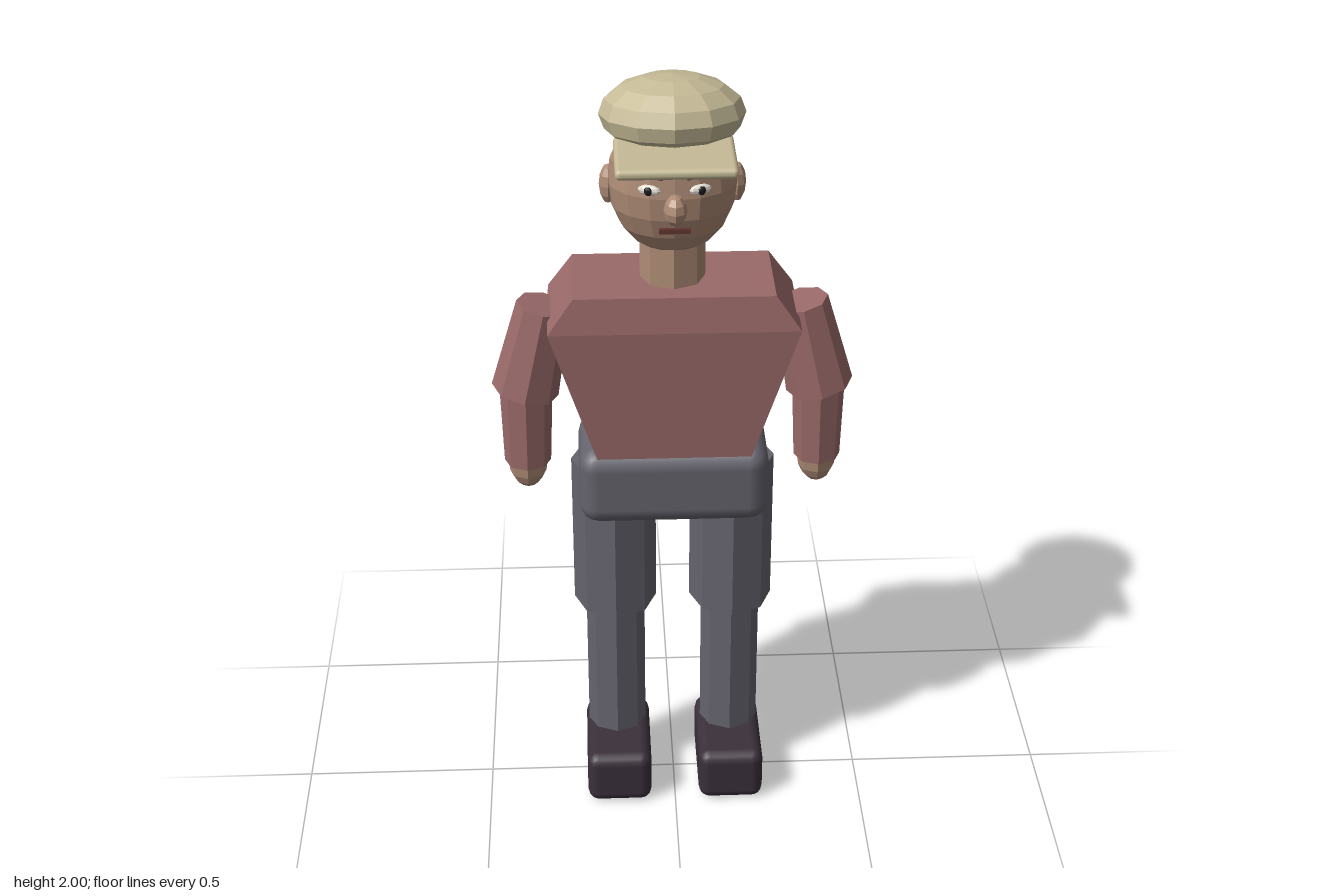
import * as THREE from 'three';
import { RoundedBoxGeometry } from 'three/addons/geometries/RoundedBoxGeometry.js';

const mat = (name, color) => Object.assign(new THREE.MeshStandardMaterial({ color }), { name });

// Faceted copy of a geometry
function facet(geometry) {
  const g = geometry.index ? geometry.toNonIndexed() : geometry;
  g.computeVertexNormals();
  return g;
}

export function createModel() {
  const skin = mat('skin', 0xaf8c76);
  const shirt = mat('shirt', 0x9a6a69);
  const trousers = mat('trousers', 0x65636d);
  const shoe = mat('shoe leather', 0x3a303a);
  const cloth = mat('cap cloth', 0xc6bb97);
  const white = mat('eye white', 0xe6e2d6);
  const dark = mat('pupil', 0x1c1a1c);
  const brow = mat('brow', 0x5c3c34);
  const lip = mat('mouth', 0x63352f);

  const model = new THREE.Group();
  model.name = 'standingMan';
  const midZ = -0.04;

  function add(name, geometry, material, x, y, z, parent = model) {
    const mesh = new THREE.Mesh(geometry, material);
    mesh.name = name;
    mesh.position.set(x, y, z);
    parent.add(mesh);
    return mesh;
  }
  const ball = (rx, ry, rz, w = 12, h = 8) =>
    facet(new THREE.SphereGeometry(1, w, h).scale(rx, ry, rz));

  // Eight-sided limb running from point a (radius ra) down to point b (radius rb)
  function limb(name, material, a, ra, b, rb, parent = model) {
    const from = new THREE.Vector3(...a), to = new THREE.Vector3(...b);
    const dir = from.clone().sub(to);
    const mesh = add(name, facet(new THREE.CylinderGeometry(ra, rb, dir.length(), 8)), material, 0, 0, 0, parent);
    mesh.position.copy(from).add(to).multiplyScalar(0.5);
    mesh.quaternion.setFromUnitVectors(new THREE.Vector3(0, 1, 0), dir.normalize());
    return mesh;
  }

  // Torso: box with a shoulder row, each row resized to [y, half width, half depth]
  const torso = new THREE.BoxGeometry(2, 2, 2, 1, 2, 1);
  const rows = [[1.03, 0.19, 0.12], [1.4, 0.308, 0.14], [1.49, 0.245, 0.127]];
  const p = torso.attributes.position;
  for (let i = 0; i < p.count; i++) {
    const [y, hx, hz] = rows[Math.round(p.getY(i)) + 1];
    p.setXYZ(i, p.getX(i) * hx, y, p.getZ(i) * hz);
  }
  add('torso', facet(torso), shirt, 0, 0, midZ);
  add('hips', new RoundedBoxGeometry(0.48, 0.21, 0.27, 2, 0.05), trousers, 0, 0.95, midZ);

  // Legs and arms, mirrored
  for (const [side, s] of [['left', 1], ['right', -1]]) {
    const leg = new THREE.Group();
    leg.name = side + 'Leg';
    limb('thigh', trousers, [s * 0.152, 0.975, midZ], 0.108, [s * 0.152, 0.55, midZ], 0.108, leg);
    limb('shin', trousers, [s * 0.152, 0.6, midZ], 0.077, [s * 0.152, 0.13, midZ], 0.077, leg);
    add('shoe', new RoundedBoxGeometry(0.172, 0.15, 0.29, 2, 0.03), shoe, s * 0.15, 0.075, 0.013, leg);

    const arm = new THREE.Group();
    arm.name = side + 'Arm';
    limb('upperArm', shirt, [s * 0.318, 1.415, midZ], 0.067, [s * 0.37, 1.18, midZ], 0.085, arm);
    limb('forearm', shirt, [s * 0.368, 1.2, midZ], 0.067, [s * 0.37, 0.975, midZ], 0.059, arm);
    add('hand', ball(0.05, 0.07, 0.05, 8, 8), skin, s * 0.37, 0.97, midZ, arm);
    model.add(leg, arm);
  }

  // Neck and head
  limb('neck', skin, [0, 1.64, midZ], 0.08, [0, 1.47, midZ], 0.08);
  const head = new THREE.Group();
  head.name = 'head';
  model.add(head);
  add('skull', ball(0.157, 0.185, 0.13, 16, 10), skin, 0, 1.75, -0.028, head);
  add('nose', ball(0.028, 0.038, 0.036, 8, 6), skin, 0, 1.735, 0.124, head);
  add('mouth', new THREE.BoxGeometry(0.075, 0.012, 0.009), lip, 0, 1.668, 0.092, head);
  for (const [side, s] of [['left', 1], ['right', -1]]) {
    add(side + 'Ear', ball(0.022, 0.05, 0.03, 8, 6), skin, s * 0.154, 1.735, midZ, head);
    const eye = new THREE.Group();
    eye.name = side + 'Eye';
    eye.position.set(s * 0.06, 1.772, 0.089);
    eye.rotation.y = s * 0.35;
    add('eyeWhite', ball(0.028, 0.013, 0.011, 10, 6), white, 0, 0, 0, eye);
    add('pupil', ball(0.01, 0.011, 0.006, 8, 6), dark, 0, 0, 0.009, eye);
    const eyebrow = add('eyebrow', new THREE.BoxGeometry(0.068, 0.011, 0.009), brow, 0, 0.037, 0, eye);
    eyebrow.rotation.z = s * 0.08;
    head.add(eye);
  }

  // Flat cap, tipped slightly back, with a level peak
  const cap = new THREE.Group();
  cap.name = 'cap';
  model.add(cap);
  const crown = add('crown', ball(0.175, 0.094, 0.16, 12, 8), cloth, 0, 1.905, -0.058, cap);
  crown.rotation.x = -0.12;
  add('peak', new RoundedBoxGeometry(0.282, 0.026, 0.22, 2, 0.012), cloth, 0, 1.86, 0.103, cap);

  return model;
}
